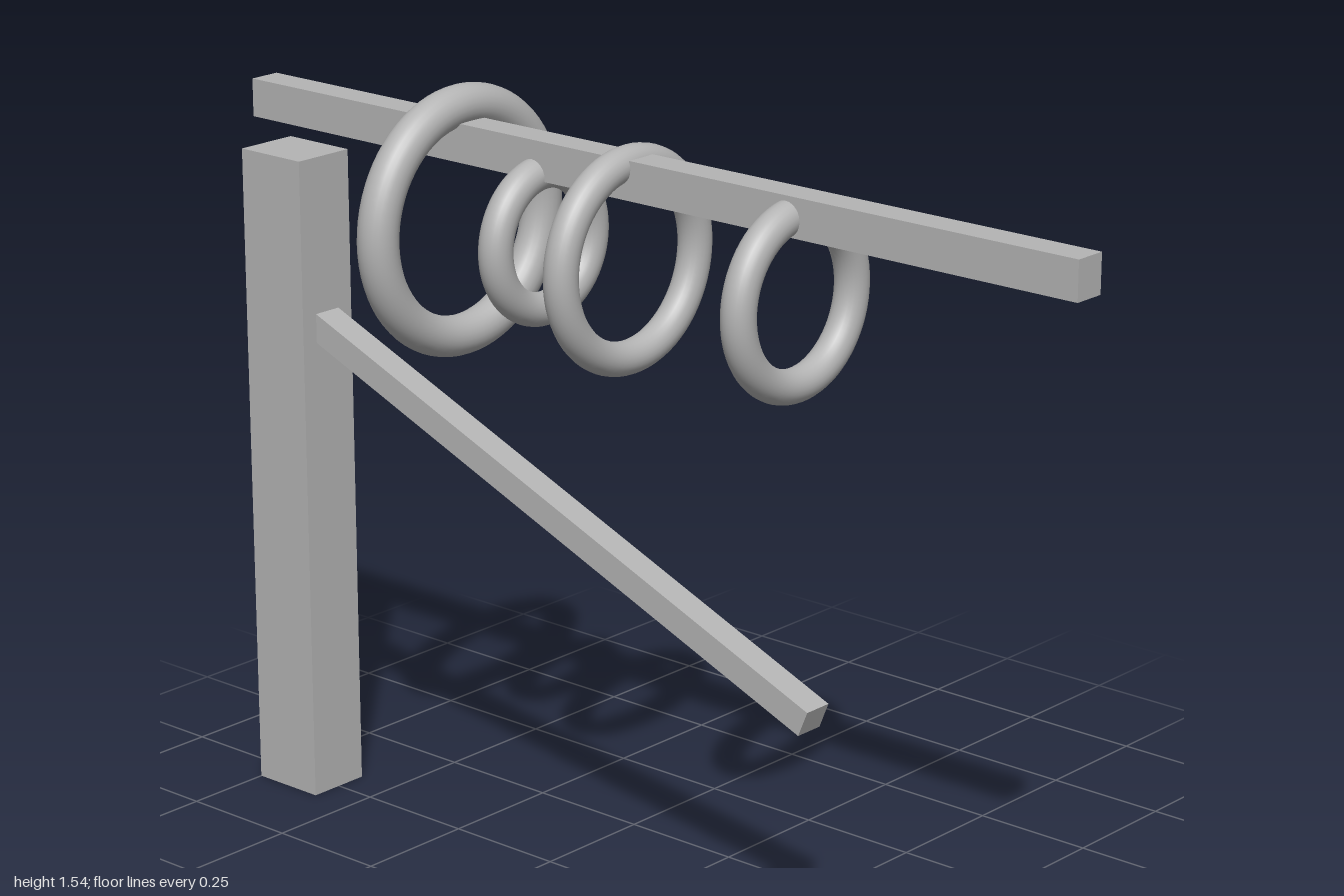
import * as THREE from 'three';

export function createModel() {
  const model = new THREE.Group();
  const grey = new THREE.MeshStandardMaterial({ color: 0xb4b4b4 });
  grey.name = 'plainGrey';

  const add = (name, geometry, x, y, z) => {
    const mesh = new THREE.Mesh(geometry, grey);
    mesh.name = name;
    mesh.position.set(x, y, z);
    model.add(mesh);
    return mesh;
  };

  // Upright post at the back and the long beam above it
  add('post', new THREE.BoxGeometry(0.134, 1.335, 0.16), 0, 0.6675, -0.92);
  add('beam', new THREE.BoxGeometry(0.066, 0.076, 2), 0, 1.432, 0);

  // Sloping strut, its upper end set into the post
  const strut = add('strut', new THREE.BoxGeometry(0.062, 0.055, 1.42), 0, 0.744, -0.244);
  strut.rotation.x = 0.389;

  // Rings threaded on the beam: z, outer radius, tube radius
  const rings = [
    [0.36, 0.193, 0.033],
    [-0.04, 0.22, 0.033],
    [-0.253, 0.166, 0.033],
    [-0.468, 0.266, 0.04],
  ];
  rings.forEach(([z, outer, tube], i) => {
    add(`ring${i + 1}`, new THREE.TorusGeometry(outer - tube, tube, 24, 72), 0, 1.27, z);
  });

  return model;
}
